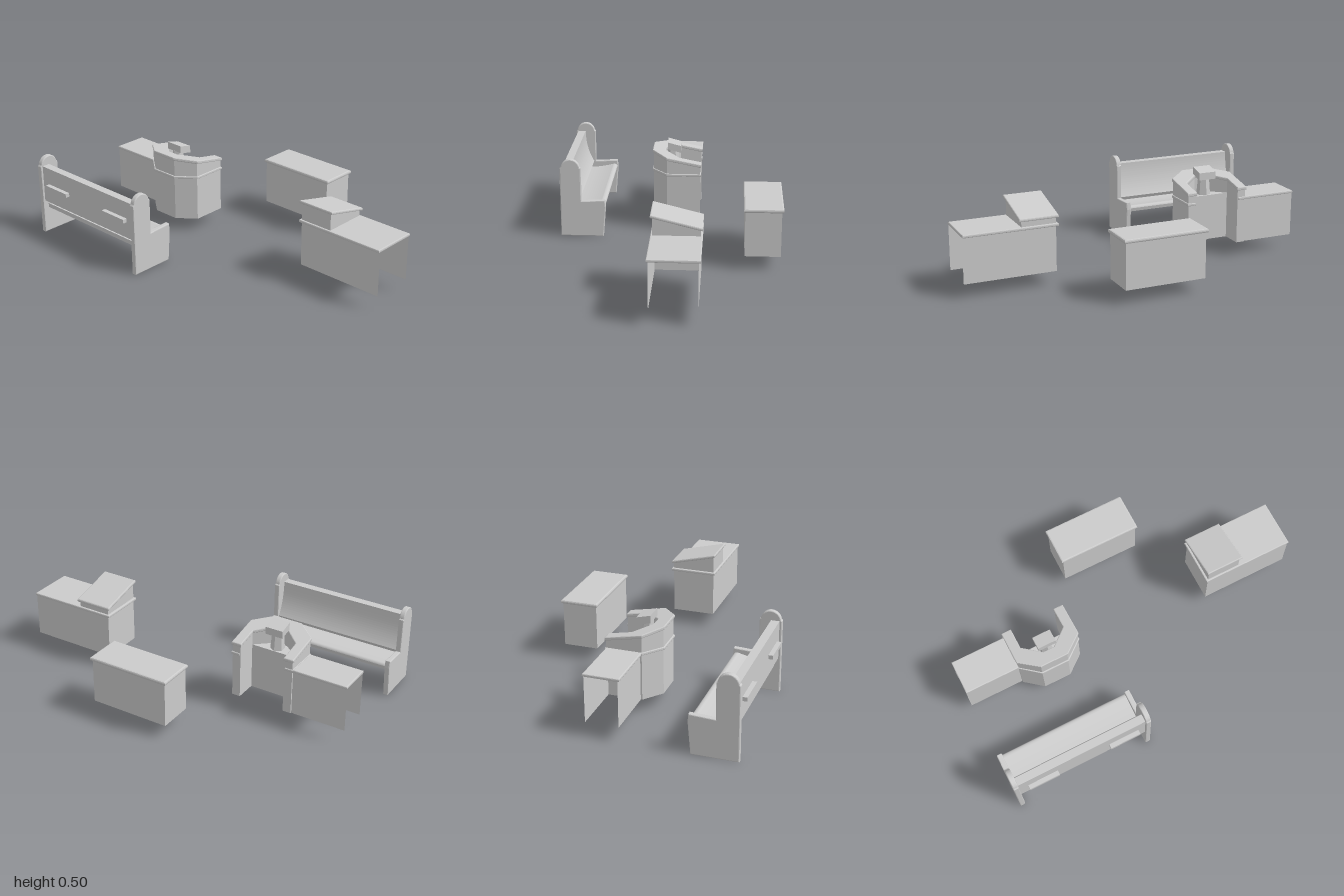
import * as THREE from 'three';

const mat = new THREE.MeshStandardMaterial({ color: 0xcccccc, side: THREE.DoubleSide, flatShading: true });
const smoothMat = new THREE.MeshStandardMaterial({ color: 0xcccccc, side: THREE.DoubleSide });

function add(parent, name, geometry, material = mat) {
  const mesh = new THREE.Mesh(geometry, material);
  mesh.name = name;
  parent.add(mesh);
  return mesh;
}

function group(parent, name) {
  const g = new THREE.Group();
  g.name = name;
  parent.add(g);
  return g;
}

// Plan outline [x, z] extruded from y0 to y1 with a small chamfer, then tilted by slope along z.
function slab(points, y0, y1, bevel = 0.005, slope = 0, zRef = 0) {
  const shape = new THREE.Shape(points.map(([x, z]) => new THREE.Vector2(x, -z)));
  const geo = new THREE.ExtrudeGeometry(shape, {
    depth: y1 - y0 - 2 * bevel, bevelEnabled: bevel > 0, bevelSize: bevel,
    bevelThickness: bevel, bevelOffset: -bevel, bevelSegments: 2,
  });
  geo.rotateX(-Math.PI / 2).translate(0, y0 + bevel, 0);
  const p = geo.attributes.position;
  for (let i = 0; i < p.count; i++) p.setY(i, p.getY(i) + slope * (p.getZ(i) - zRef));
  geo.computeVertexNormals();
  return geo;
}

// Thin upright walls along a plan path, with a top height that may vary with z.
function walls(points, y0, top) {
  const pos = [], index = [];
  for (let i = 0; i < points.length - 1; i++) {
    const [a, b] = [points[i], points[i + 1]];
    const n = pos.length / 3;
    pos.push(a[0], y0, a[1], b[0], y0, b[1], b[0], top(b[1]), b[1], a[0], top(a[1]), a[1]);
    index.push(n, n + 1, n + 2, n, n + 2, n + 3);
  }
  const geo = new THREE.BufferGeometry();
  geo.setAttribute('position', new THREE.Float32BufferAttribute(pos, 3));
  geo.setIndex(index);
  geo.computeVertexNormals();
  return geo;
}

const rect = (x0, x1, z0, z1) => [[x0, z1], [x1, z1], [x1, z0], [x0, z0]];
const closed = (pts) => [...pts, pts[0]];

// Side profile [z, y] extruded along x.
function alongX(shape, x0, x1, bevel = 0) {
  const geo = new THREE.ExtrudeGeometry(shape, {
    depth: x1 - x0 - 2 * bevel, bevelEnabled: bevel > 0, bevelSize: bevel, bevelThickness: bevel,
    bevelOffset: -bevel, bevelSegments: 2, curveSegments: 16,
  });
  return geo.rotateY(-Math.PI / 2).translate(x1 - bevel, 0, 0);
}

function buildPew(root) {
  const pew = group(root, 'pew');
  // End panels with a rounded head
  const end = new THREE.Shape();
  end.moveTo(-0.385, 0);
  end.lineTo(-0.37, 0.18);
  end.lineTo(-0.375, 0.222);
  end.lineTo(-0.513, 0.215);
  end.lineTo(-0.513, 0.415);
  end.lineTo(-0.52, 0.42);
  end.absarc(-0.574, 0.412, 0.055, Math.PI * 0.05, Math.PI * 0.95, false);
  end.lineTo(-0.635, 0.412);
  end.lineTo(-0.635, 0);
  const mirrored = new THREE.Shape(end.getPoints(16).map((p) => new THREE.Vector2(-p.x, p.y)));
  for (const [name, x] of [['rightEndPanel', -1], ['leftEndPanel', -0.22]]) {
    add(pew, name, alongX(mirrored, x, x + 0.03, 0.005), smoothMat);
  }

  // Curved backrest
  const back = new THREE.Shape();
  back.moveTo(0.622, 0.2);
  back.lineTo(0.622, 0.415);
  back.lineTo(0.576, 0.415);
  back.quadraticCurveTo(0.575, 0.3, 0.525, 0.215);
  back.lineTo(0.535, 0.195);
  back.lineTo(0.61, 0.19);
  add(pew, 'backrest', alongX(back, -0.975, -0.215), smoothMat);

  // Dished seat
  const seat = new THREE.Shape();
  seat.moveTo(0.38, 0.165);
  seat.lineTo(0.375, 0.185);
  seat.quadraticCurveTo(0.38, 0.2, 0.4, 0.198);
  seat.quadraticCurveTo(0.5, 0.17, 0.6, 0.175);
  seat.lineTo(0.6, 0.15);
  seat.lineTo(0.42, 0.155);
  add(pew, 'seat', alongX(seat, -0.975, -0.215), smoothMat);

  // Book ledges on the back
  for (const x of [-0.832, -0.35]) {
    add(pew, 'bookLedge', new THREE.BoxGeometry(0.176, 0.022, 0.026)).position.set(x, 0.306, 0.634);
  }
}

function buildTable(root) {
  const table = group(root, 'table');
  add(table, 'tableWalls', walls(closed(rect(-0.19, 0.27, -0.634, -0.436)), 0.08, () => 0.34));
  add(table, 'tableTop', slab(rect(-0.2, 0.28, -0.645, -0.428), 0.333, 0.355, 0.008));
}

function buildDesk(root) {
  const desk = group(root, 'deskWithLectern');
  // Long counter, open at its left end
  add(desk, 'deskWalls', walls([[1, 0.04], [0.483, 0.04], [0.483, -0.207], [1, -0.207]], 0.08, () => 0.34));
  add(desk, 'deskTop', slab(rect(0.47, 1, -0.218, 0.05), 0.333, 0.35));
  // Raised reading box with a sloped lid
  const slope = 0.25;
  add(desk, 'lecternWalls', walls(closed(rect(0.483, 0.677, -0.207, 0.04)), 0.345,
    (z) => 0.452 + slope * (z - 0.05)));
  add(desk, 'lecternLid', slab(rect(0.47, 0.69, -0.218, 0.05), 0.446, 0.464, 0.006, slope, 0.05));
}

function buildPulpit(root) {
  const pulpit = group(root, 'pulpit');
  const cx = -0.503, slope = 0.2;
  // Half outlines are mirrored about the pulpit's centre line
  const mirror = (half) => [...half.map(([x, z]) => [cx - x, z]),
    ...half.slice().reverse().map(([x, z]) => [cx + x, z])];
  const outer = mirror([[0.181, -0.175], [0.181, 0.02], [0.079, 0.102], ]);
  const innerHalf = [[0.133, -0.175], [0.133, -0.05], [0.035, 0.035]];
  const inner = mirror(innerHalf);
  const recess = mirror(innerHalf.slice(0, 2));
  const top = (z) => 0.452 + slope * (z - 0.105);
  const band = (o, i) => [...o, ...i.slice().reverse()];

  add(pulpit, 'outerWalls', walls(outer, 0.08, top));
  add(pulpit, 'innerWalls', walls(recess, 0.08, () => 0.345));
  add(pulpit, 'upperInnerWalls', walls(inner, 0.345, top));
  for (const side of [-1, 1]) {
    add(pulpit, 'armEnd', walls([[cx + side * 0.181, -0.175], [cx + side * 0.133, -0.175]], 0.08, top));
  }
  // Shelf, moulding and sloped rail
  add(pulpit, 'shelf', slab(mirror([[0.133, -0.05], [0.035, 0.035]]), 0.335, 0.345, 0));
  const wide = mirror([[0.187, -0.18], [0.187, 0.022], [0.081, 0.109]]);
  const narrow = mirror([[0.129, -0.18], [0.129, -0.052], [0.033, 0.032]]);
  add(pulpit, 'moulding', slab(band(wide, mirror([[0.135, -0.18], [0.135, -0.05], [0.035, 0.035]])), 0.334, 0.35, 0.004));
  add(pulpit, 'topRail', slab(band(wide, narrow), 0.446, 0.466, 0.005, slope, 0.105));

  // Book stand on a post
  add(pulpit, 'standPost', new THREE.CylinderGeometry(0.03, 0.04, 0.115, 6)).position.set(cx, 0.4, -0.008);
  add(pulpit, 'bookStand', slab(rect(cx - 0.052, cx + 0.052, -0.056, 0.022), 0.46, 0.502, 0, 0.26, 0.022));

  // Side counter, open at its far end
  const side = group(pulpit, 'sideCounter');
  add(side, 'counterWalls', walls([[-1, 0.012], [-0.685, 0.012], [-0.685, -0.168], [-1, -0.168]], 0.08, () => 0.34));
  add(side, 'counterTop', slab(rect(-1, -0.685, -0.176, 0.02), 0.333, 0.35));
}

export function createModel() {
  const root = new THREE.Group();
  root.name = 'chapelFurniture';
  buildPew(root);
  buildTable(root);
  buildDesk(root);
  buildPulpit(root);
  return root;
}
